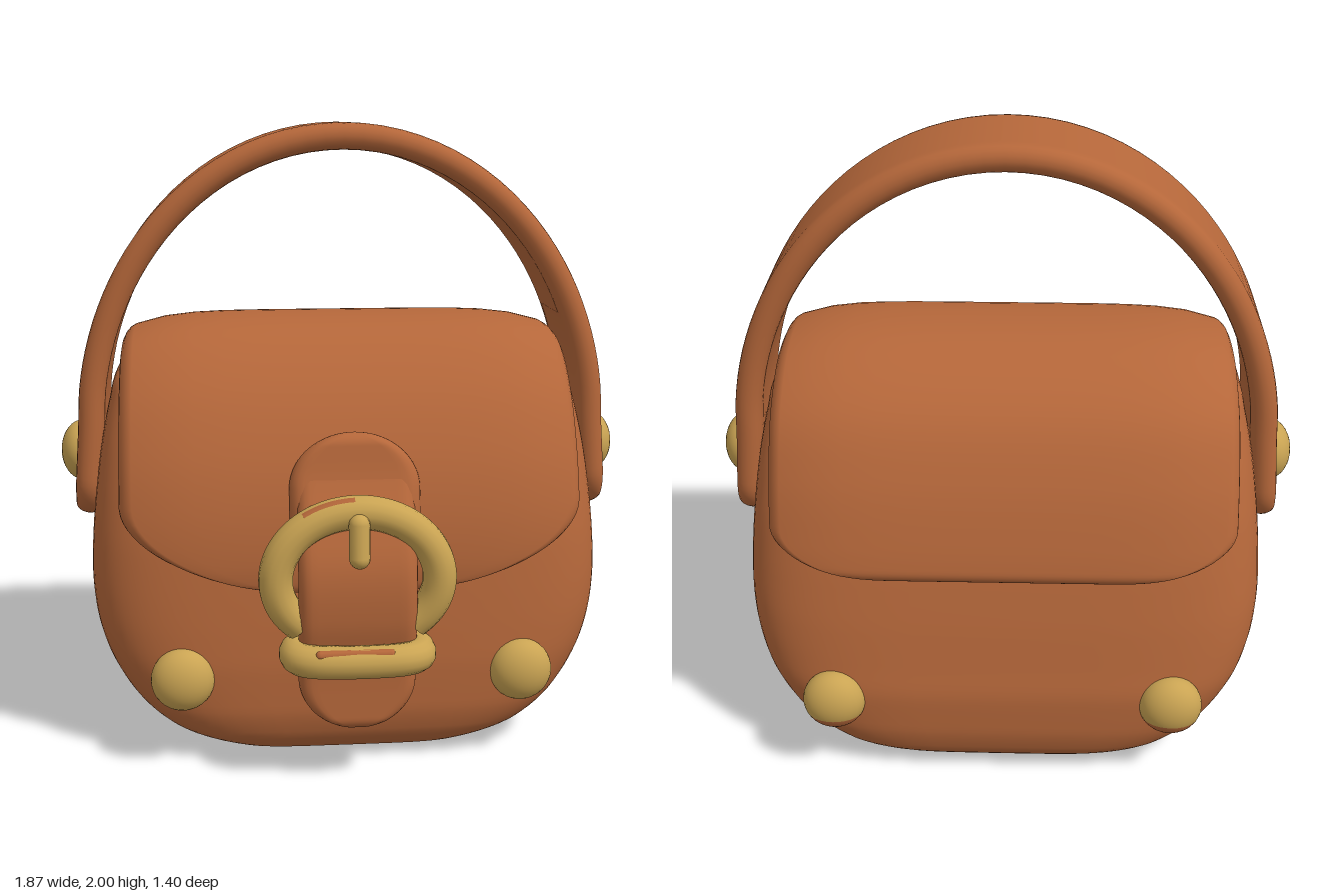
import * as THREE from 'three';

const leather = new THREE.MeshStandardMaterial({ color: 0xb5673a });
leather.name = 'tan leather';
const brass = new THREE.MeshStandardMaterial({ color: 0xcaa453 });
brass.name = 'brass';

// Skin closed rings of points, cap both ends, and turn the faces outward.
function loft(rings) {
  const m = rings[0].length, n = rings.length, idx = [];
  const pts = rings.flat();
  for (let i = 0; i < n - 1; i++) for (let j = 0; j < m; j++) {
    const a = i * m + j, b = i * m + (j + 1) % m;
    idx.push(a, b, a + m, b, b + m, a + m);
  }
  for (const i of [0, n - 1]) {
    const c = rings[i].reduce((s, p) => s.add(p), new THREE.Vector3()).divideScalar(m);
    pts.push(c);
    for (let j = 0; j < m; j++) {
      const a = i * m + j, b = i * m + (j + 1) % m;
      if (i === 0) idx.push(b, a, pts.length - 1);
      else idx.push(a, b, pts.length - 1);
    }
  }
  let volume = 0;
  for (let k = 0; k < idx.length; k += 3)
    volume += pts[idx[k]].dot(new THREE.Vector3().crossVectors(pts[idx[k + 1]], pts[idx[k + 2]]));
  if (volume < 0) idx.reverse();
  const g = new THREE.BufferGeometry().setFromPoints(pts);
  g.setIndex(idx);
  g.computeVertexNormals();
  return g;
}

// A thick leather strip that follows a 2D path, with rounded edges and ends.
// start/end = [corner reach across, corner reach along]
function strip({ path, width, thick, start, end, drop = 0, place }) {
  const curve = new THREE.CatmullRomCurve3(path.map(([a, b]) => new THREE.Vector3(a, b, 0)), false, 'centripetal');
  curve.arcLengthDivisions = 600;
  const length = curve.getLength(), N = 90, r = thick / 2;
  const corner = (d, [across, along]) =>
    d >= along ? 0 : across * (1 - Math.sqrt(Math.max(0, 1 - (1 - d / along) ** 2)));
  const rings = [];
  for (let i = 0; i <= N; i++) {
    const t = (1 - Math.cos(Math.PI * i / N)) / 2;
    const p = curve.getPointAt(t), tan = curve.getTangentAt(t);
    const d0 = t * length, d1 = length - d0;
    const w = Math.max(0.004, width - corner(d0, start) - corner(d1, end));
    const h = Math.max(0.002, r - corner(Math.min(d0, d1), [r, r]));
    const e = Math.min(r, w * 0.5), ring = [];
    const add = (x, n) => {
      const off = n - drop * Math.abs(x / width) ** 6;
      ring.push(place(p.x + tan.y * off, p.y - tan.x * off, x));
    };
    for (const side of [1, -1]) {
      for (let k = 0; k <= 8; k++) {
        const a = -Math.PI / 2 + Math.PI * k / 8;
        add(side * (w - e + e * Math.cos(a)), side * h * Math.sin(a));
      }
      for (let k = 1; k < 14; k++) add(side * (w - e) * (1 - 2 * k / 14), side * h);
    }
    rings.push(ring);
  }
  return loft(rings);
}

// Bag body: rounded-rectangle sections rising from the base.
function bodyGeometry() {
  // y, half width, front z, back z
  const rows = [
    [0, 0.34, 0.28, -0.48], [0.025, 0.45, 0.365, -0.555], [0.09, 0.6, 0.425, -0.615],
    [0.18, 0.7, 0.448, -0.638], [0.3, 0.775, 0.45, -0.64], [0.42, 0.815, 0.442, -0.62],
    [0.55, 0.83, 0.428, -0.595], [0.7, 0.825, 0.408, -0.56], [0.85, 0.81, 0.375, -0.52],
    [1.0, 0.788, 0.325, -0.46], [1.13, 0.76, 0.262, -0.39], [1.2, 0.74, 0.215, -0.34], [1.25, 0.67, 0.15, -0.28],
  ];
  const outline = new THREE.CatmullRomCurve3(rows.map(([y, w]) => new THREE.Vector3(w, y, 0)));
  const depth = new THREE.CatmullRomCurve3(rows.map(([, , f, b]) => new THREE.Vector3(f, b, 0)));
  const rings = [], N = 60, M = 80;
  for (let i = 0; i <= N; i++) {
    const o = outline.getPoint(i / N), d = depth.getPoint(i / N);
    const mid = (d.x + d.y) / 2, half = (d.x - d.y) / 2, ring = [];
    for (let j = 0; j < M; j++) {
      const a = 2 * Math.PI * j / M, c = Math.cos(a), s = Math.sin(a);
      ring.push(new THREE.Vector3(
        o.x * Math.sign(c) * Math.abs(c) ** 0.42, o.y,
        mid + half * Math.sign(s) * Math.abs(s) ** 0.42));
    }
    rings.push(ring);
  }
  return loft(rings);
}

// Arc of the buckle ring between two angles in degrees
function ringArc(from, to, radius, lift = 0) {
  const pts = [];
  for (let i = 0; i <= 24; i++) {
    const a = THREE.MathUtils.degToRad(from + (to - from) * i / 24);
    const y = 0.66 + (radius - 0.045) * Math.sin(a);
    pts.push(new THREE.Vector3(radius * Math.cos(a), y, 0.582 - 0.5 * (y - 0.7) ** 2 + lift));
  }
  return new THREE.CatmullRomCurve3(pts);
}

export function createModel() {
  const bag = new THREE.Group();
  bag.name = 'handbag';
  const add = (name, geometry, material, x = 0, y = 0, z = 0) => {
    const mesh = new THREE.Mesh(geometry, material);
    mesh.name = name;
    mesh.position.set(x, y, z);
    bag.add(mesh);
    return mesh;
  };
  const lengthwise = (z, y, x) => new THREE.Vector3(x, y, z);

  add('body', bodyGeometry(), leather);

  // Flap wrapping from the front, over the top, to the back
  add('flap', strip({
    path: [[0.455, 0.58], [0.463, 0.67], [0.445, 0.83], [0.39, 1.0], [0.28, 1.18], [0.12, 1.31],
      [-0.07, 1.342], [-0.24, 1.315], [-0.41, 1.205], [-0.51, 1.04], [-0.575, 0.85], [-0.6, 0.74]],
    width: 0.72, thick: 0.085, start: [0.7, 0.28], end: [0.4, 0.16], drop: 0.06, place: lengthwise,
  }), leather);

  // Handle: straight ends joined by a half ellipse
  const arch = [[0.842, 0.72], [0.834, 0.86]];
  for (let i = 0; i <= 20; i++) {
    const a = Math.PI * i / 20;
    arch.push([0.822 * Math.cos(a), 1.02 + 0.937 * Math.sin(a)]);
  }
  arch.push([-0.834, 0.86], [-0.842, 0.72]);
  add('handle', strip({
    path: arch, width: 0.187, thick: 0.085, start: [0.15, 0.14], end: [0.15, 0.14],
    place: (x, y, z) => new THREE.Vector3(x, y, z - 0.07),
  }), leather);

  // Closing strap threaded through the buckle, and the tab it is sewn to
  add('strap', strip({
    path: [[0.57, 0.18], [0.57, 0.4], [0.595, 0.54], [0.59, 0.68], [0.545, 0.8], [0.48, 0.92], [0.44, 1.0]],
    width: 0.18, thick: 0.08, start: [0.18, 0.16], end: [0.1, 0.1], place: lengthwise,
  }), leather);
  add('strapTab', strip({
    path: [[0.5, 0.72], [0.49, 0.86], [0.46, 0.97], [0.435, 1.08]],
    width: 0.2, thick: 0.085, start: [0.05, 0.05], end: [0.2, 0.17], place: lengthwise,
  }), leather);

  // Buckle ring, open at the bottom, with a leather-coloured patch on its crown
  add('buckleRing', new THREE.TubeGeometry(ringArc(-46, 226, 0.248), 80, 0.052, 14), brass);
  add('ringPatch', new THREE.TubeGeometry(ringArc(92, 125, 0.276, 0.02), 30, 0.022, 8), leather);

  // Flat loop holding the strap tip, with a matching patch
  const loop = [[-0.13, 0.65], [0.13, 0.65], [0.18, 0.62], [0.19, 0.575], [0.18, 0.53], [0.13, 0.5],
    [-0.13, 0.5], [-0.18, 0.53], [-0.19, 0.575], [-0.18, 0.62]];
  add('strapLoop', new THREE.TubeGeometry(new THREE.CatmullRomCurve3(
    loop.map(([x, z]) => new THREE.Vector3(x, 0.425, z)), true, 'centripetal'), 80, 0.05, 14, true), brass);
  add('loopPatch', new THREE.CapsuleGeometry(0.016, 0.21, 4, 10), leather, -0.015, 0.455, 0.679).rotation.z = Math.PI / 2;

  // Buckle prong
  add('bucklePin', new THREE.CapsuleGeometry(0.032, 0.1, 6, 14), brass, 0, 0.79, 0.63).rotation.x = -0.15;

  // Domed studs on the front, back and handle ends; the back ones have leather undersides
  const dome = new THREE.SphereGeometry(0.1, 28, 18);
  const upper = new THREE.SphereGeometry(0.1, 28, 14, 0, Math.PI * 2, 0, Math.PI * 0.64);
  const lower = new THREE.SphereGeometry(0.1, 28, 8, 0, Math.PI * 2, Math.PI * 0.64, Math.PI * 0.36);
  for (const side of [1, -1]) {
    add('frontStud', dome, brass, side * 0.535, 0.295, 0.43).scale.z = 0.72;
    add('backStud', upper, brass, side * 0.535, 0.295, -0.62).scale.z = 0.74;
    add('backStudUnderside', lower, leather, side * 0.535, 0.295, -0.62).scale.z = 0.74;
    add('handleStud', dome, brass, side * 0.865, 0.925, -0.07).scale.x = 0.7;
  }
  return bag;
}
